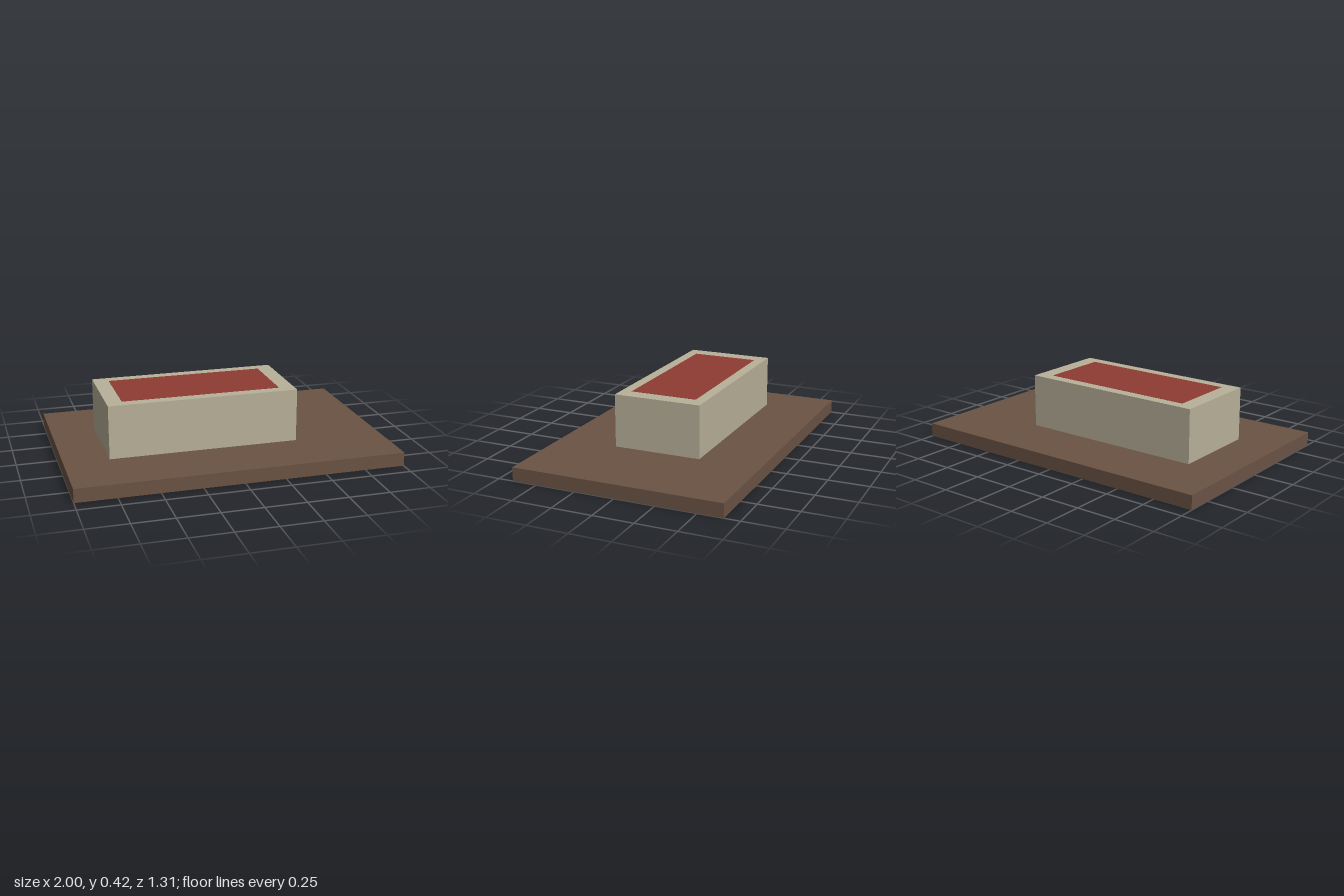
import * as THREE from 'three';

// Box given by its size, the centre of its footprint and the height of its underside
function block(name, color, [w, h, d], x, bottom) {
  const mesh = new THREE.Mesh(
    new THREE.BoxGeometry(w, h, d),
    new THREE.MeshStandardMaterial({ color })
  );
  mesh.name = name;
  mesh.position.set(x, bottom + h / 2, 0);
  return mesh;
}

export function createModel() {
  const group = new THREE.Group();
  group.name = 'blockOnBase';

  const baseHeight = 0.085, bodyHeight = 0.33, bodyX = -0.14;
  const top = baseHeight + bodyHeight;

  // Wide flat base slab
  group.add(block('base', 0x6b5344, [2, baseHeight, 1.31], 0, 0));

  // Pale block, set off-centre on the base
  group.add(block('body', 0xb8b099, [1.17, bodyHeight, 0.55], bodyX, baseHeight));

  // Red panel let into the top of the block, a hair proud of it so it shows cleanly
  const panelHeight = 0.02;
  group.add(block('topPanel', 0x8e3b32, [0.98, panelHeight, 0.42], bodyX, top + 0.001 - panelHeight));

  return group;
}
